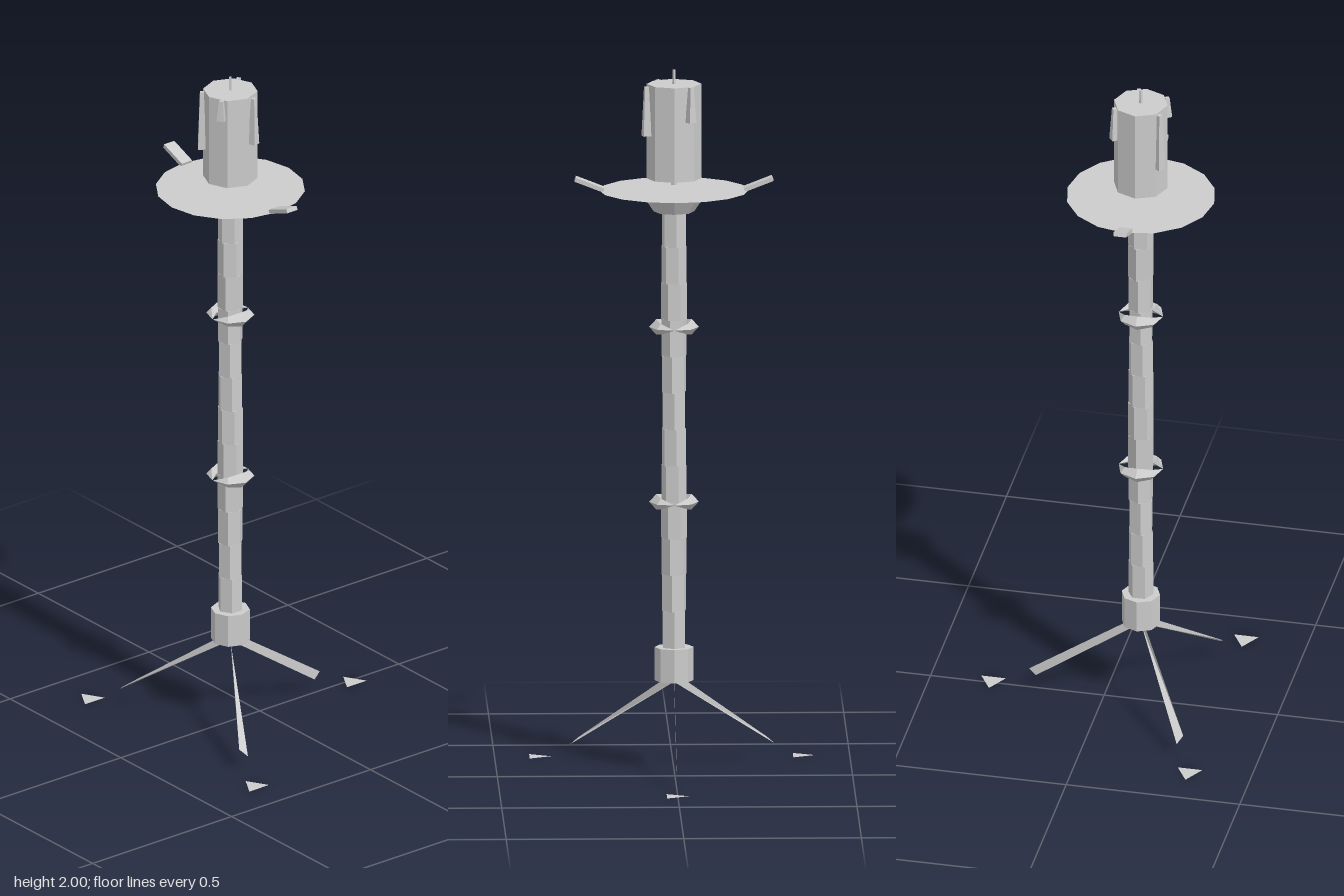
import * as THREE from 'three';

export function createModel() {
  const model = new THREE.Group();
  const iron = new THREE.MeshStandardMaterial({ color: 0xcccccc });
  iron.name = 'plainGrey';
  iron.flatShading = true;
  iron.side = THREE.DoubleSide;

  // Everything but the feet is centred on the post's axis
  const stand = new THREE.Group();
  stand.name = 'candleStand';
  stand.position.z = 0.106;
  model.add(stand);

  function add(name, geometry, x = 0, y = 0, z = 0, parent = stand) {
    const mesh = new THREE.Mesh(geometry, iron);
    mesh.name = name;
    mesh.position.set(x, y, z);
    parent.add(mesh);
    return mesh;
  }
  const drum = (top, bottom, y0, y1, sides) =>
    new THREE.CylinderGeometry(top, bottom, y1 - y0, sides).translate(0, (y0 + y1) / 2, 0);
  const disc = (radius, sides, start) =>
    new THREE.CircleGeometry(radius, sides, start).rotateX(-Math.PI / 2);

  // Flat triangular feet, all pointing the same way
  for (const [x, z] of [[0.01, -0.325], [0.381, 0.322], [-0.361, 0.322]]) {
    add('foot', disc(0.041, 3, Math.PI), x, 0, z, model);
  }

  // Thin blade legs: upright at the hub, slanted cut at the tip
  function blade(lower, upper) {
    const g = new THREE.BufferGeometry();
    g.setAttribute('position', new THREE.Float32BufferAttribute(
      [0, 0.25, 0, ...lower, ...upper, 0, 0.277, 0], 3));
    g.setIndex([0, 1, 2, 0, 2, 3]);
    const flat = g.toNonIndexed();
    flat.computeVertexNormals();
    return flat;
  }
  for (const s of [1, -1]) {
    add(s > 0 ? 'leftLeg' : 'rightLeg', blade([s * 0.288, 0.043, 0.166], [s * 0.266, 0.06, 0.18]));
  }
  add('backLeg', blade([0, 0.04, -0.303], [0, 0.06, -0.322]));

  // Hub
  add('hub', drum(0.055, 0.055, 0.255, 0.35, 8));

  // Twisted post from stacked, turned hexagonal sections
  const sections = 12, y0 = 0.35, step = (1.6 - y0) / sections;
  for (let i = 0; i < sections; i++) {
    const y = y0 + i * step;
    add('postSection', drum(0.036, 0.036, y, y + step, 6)).rotation.y = -i * Math.PI / 18;
  }

  // Knots: rings that swell at the sides and thin out at front and back
  for (const y of [0.765, 1.265]) {
    const ring = new THREE.TorusGeometry(0.05, 0.02, 4, 8);
    const p = ring.attributes.position;
    for (let i = 0; i < p.count; i++) {
      const a = Math.atan2(p.getY(i), p.getX(i));
      const k = Math.abs(Math.cos(a));
      const r = 0.064 - 0.014 * k + (Math.hypot(p.getX(i), p.getY(i)) - 0.05) * k;
      p.setXYZ(i, r * Math.cos(a), r * Math.sin(a), p.getZ(i) * 1.1 * k);
    }
    ring.rotateX(Math.PI / 2);
    ring.computeVertexNormals();
    add('knot', ring, 0, y, 0);
  }

  // Cup, drip pan and side handles
  add('cup', drum(0.097, 0.057, 1.595, 1.655, 8));
  add('dripPan', disc(0.211, 16, Math.PI / 2), 0, 1.656, 0);
  add('panCentre', disc(0.125, 10, Math.PI / 2), 0, 1.66, 0);
  for (const s of [1, -1]) {
    add(s > 0 ? 'leftHandle' : 'rightHandle',
      new THREE.BoxGeometry(0.086, 0.012, 0.037), s * 0.238, 1.674, 0).rotation.z = s * 0.37;
  }

  // Candle on its spike
  add('spike', drum(0.01, 0.01, 1.672, 1.69, 6));
  add('candle', drum(0.077, 0.077, 1.69, 1.96, 8));
  add('wick', drum(0.004, 0.005, 1.96, 2, 4));

  // Wax drips: x, z, bottom, top
  const drips = [
    [-0.048, 0.064, 1.78, 1.955], [0.043, 0.066, 1.9, 1.96],
    [0.078, -0.022, 1.815, 1.955], [-0.046, -0.066, 1.86, 1.96],
  ];
  for (const [x, z, low, high] of drips) {
    const drip = drum(0.008, 0.016, low, high, 4).rotateY(Math.PI / 4);
    add('waxDrip', drip, x, 0, z).rotation.y = Math.atan2(x, z);
  }
  return model;
}
